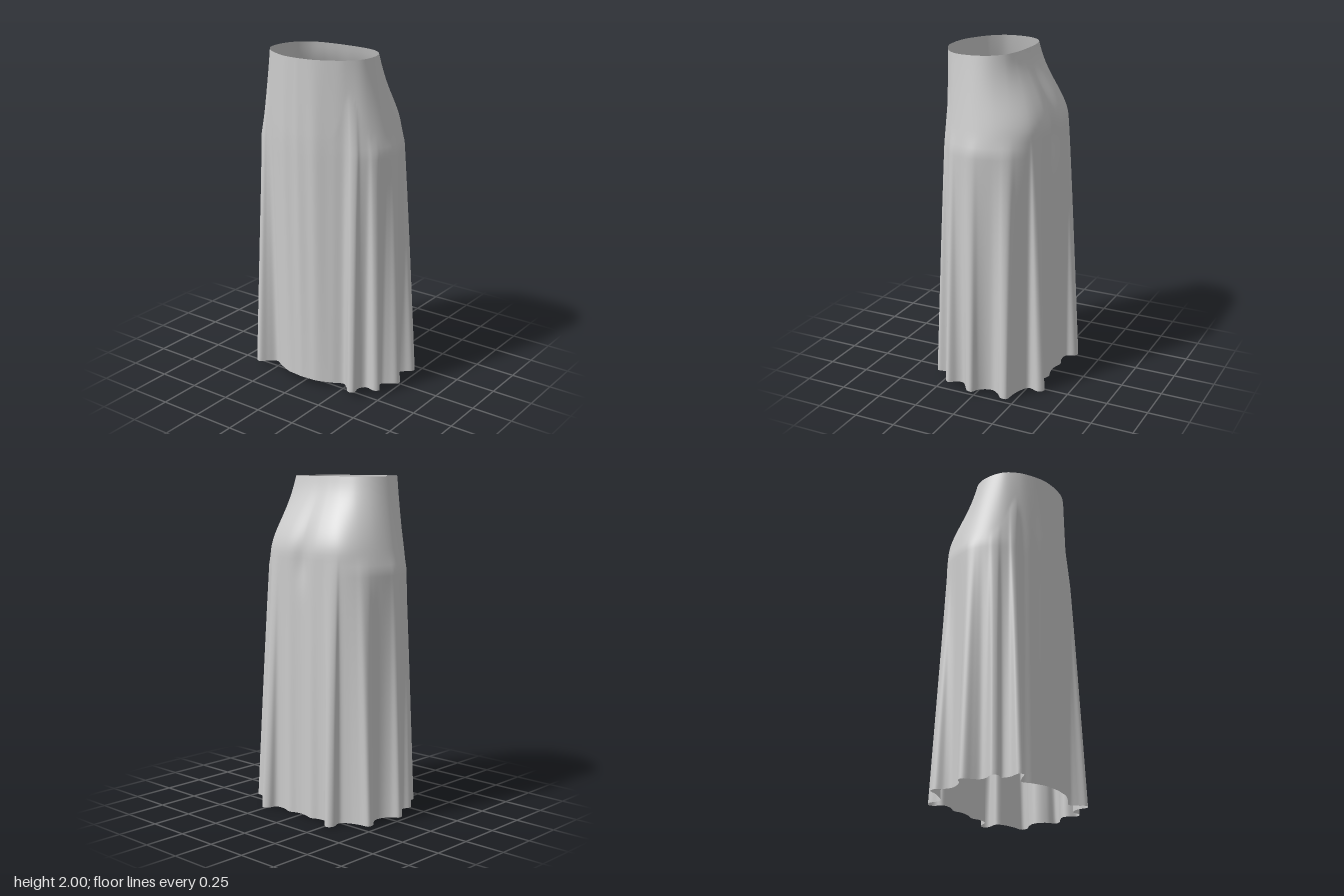
import * as THREE from 'three';

// Half outlines from front centre round the left side to back centre, [x, z]
const WAIST = [[0, .35], [.1, .338], [.2, .295], [.26, .255], [.315, .185], [.33, .11],
  [.32, .03], [.29, -.03], [.23, -.08], [.15, -.105], [.07, -.113], [0, -.115]];
const HIP = [[0, .355], [.11, .345], [.21, .3], [.285, .26], [.37, .21], [.425, .13],
  [.445, .03], [.42, -.09], [.36, -.19], [.27, -.26], [.13, -.295], [0, -.287]];
// Pleated hem, [x, z, matching position along the outlines above]
const HEM = [[0, .332, 0], [.05, .327, .5], [.1, .322, 1], [.19, .285, 1.9], [.255, .252, 2.6],
  [.3, .285, 3], [.34, .324, 3.25], [.37, .31, 3.5], [.36, .25, 3.75], [.385, .205, 4.1],
  [.45, .212, 4.4], [.47, .188, 4.65], [.435, .14, 4.95], [.43, .105, 5.25], [.46, .075, 5.55],
  [.5, .045, 5.85], [.505, .015, 6.1], [.46, -.012, 6.4], [.43, -.05, 6.7], [.42, -.09, 7],
  [.44, -.13, 7.3], [.478, -.168, 7.6], [.474, -.203, 7.85], [.4, -.215, 8.2], [.33, -.235, 8.6],
  [.285, -.265, 8.9], [.296, -.33, 9.1], [.27, -.355, 9.3], [.236, -.34, 9.5], [.212, -.297, 9.7],
  [.15, -.29, 10], [.09, -.308, 10.35], [.04, -.295, 10.7], [0, -.29, 11]];

const K_SCALE = 0.02;
const curve = pts => new THREE.CatmullRomCurve3(
  pts.map(([x, z, k = 0]) => new THREE.Vector3(x, k * K_SCALE, z)), false, 'centripetal');
const clamp01 = v => Math.min(1, Math.max(0, v));
const bump = (v, centre, width) => Math.exp(-(((v - centre) / width) ** 2));

function skirtGeometry() {
  const half = 170, ring = half * 2, rows = 64;
  const hemCurve = curve(HEM), waistCurve = curve(WAIST), hipCurve = curve(HIP);

  // Matching waist, hip and hem points for every column of cloth
  const columns = [];
  for (let i = 0; i <= half; i++) {
    const hem = hemCurve.getPointAt(i / half);
    const k = Math.min(11, Math.max(0, hem.y / K_SCALE));
    columns.push({ k, hem, waist: waistCurve.getPoint(k / 11), hip: hipCurve.getPoint(k / 11) });
  }

  const positions = [], index = [];
  for (let j = 0; j <= rows; j++) {
    for (let i = 0; i < ring; i++) {
      const mirrored = i > half;
      const { k, hem, waist, hip } = columns[mirrored ? ring - i : i];
      const bottom = 0.02 + 0.055 * hem.z;
      const y = 2 - (2 - bottom) * j / rows;

      // Straight flare at front and sides, rounded seat at the back
      const back = THREE.MathUtils.smoothstep(k, 6, 9.5);
      const straight = clamp01((2 - y) / 0.53);
      const seat = THREE.MathUtils.smoothstep(2 - y, -0.03, 0.45);
      const flare = THREE.MathUtils.lerp(straight, j ? seat : 0, back);

      // Pleats open gradually towards the hem, starting higher near the front
      const start = 1.55 + 0.25 * bump(k, 3.2, 0.8);
      const fold = Math.pow(clamp01((start - y) / (start - bottom)), 0.9);

      // The two sides hang slightly differently
      const slack = mirrored ? bump(k, 4.5, 0.45) * 0.025 + bump(k, 7.7, 0.5) * 0.018 : 0;
      let x = THREE.MathUtils.lerp(waist.x + (hip.x - waist.x) * flare, hem.x - slack, fold);
      let z = THREE.MathUtils.lerp(waist.z + (hip.z - waist.z) * flare, hem.z, fold);

      // Soft hollow at the back and faint drape lines in the front panel
      if (z < 0) z += 0.018 * bump(x, 0, 0.05) * bump(y, 1.52, 0.14);
      else z += 0.003 * Math.cos(x * 55) * bump(x, 0, 0.22) * Math.sin(Math.PI * j / rows);

      positions.push(mirrored ? -x : x, y, z);
      if (j < rows) {
        const a = j * ring + i, b = j * ring + (i + 1) % ring;
        index.push(a, a + ring, b, b, a + ring, b + ring);
      }
    }
  }
  const geometry = new THREE.BufferGeometry();
  geometry.setAttribute('position', new THREE.Float32BufferAttribute(positions, 3));
  geometry.setIndex(index);
  geometry.computeVertexNormals();
  return geometry;
}

export function createModel() {
  const group = new THREE.Group();
  group.name = 'longSkirt';
  const cloth = new THREE.MeshStandardMaterial({ color: 0xcccccc, side: THREE.DoubleSide });
  const skirt = new THREE.Mesh(skirtGeometry(), cloth);
  skirt.name = 'pleatedCloth';
  group.add(skirt);
  return group;
}
